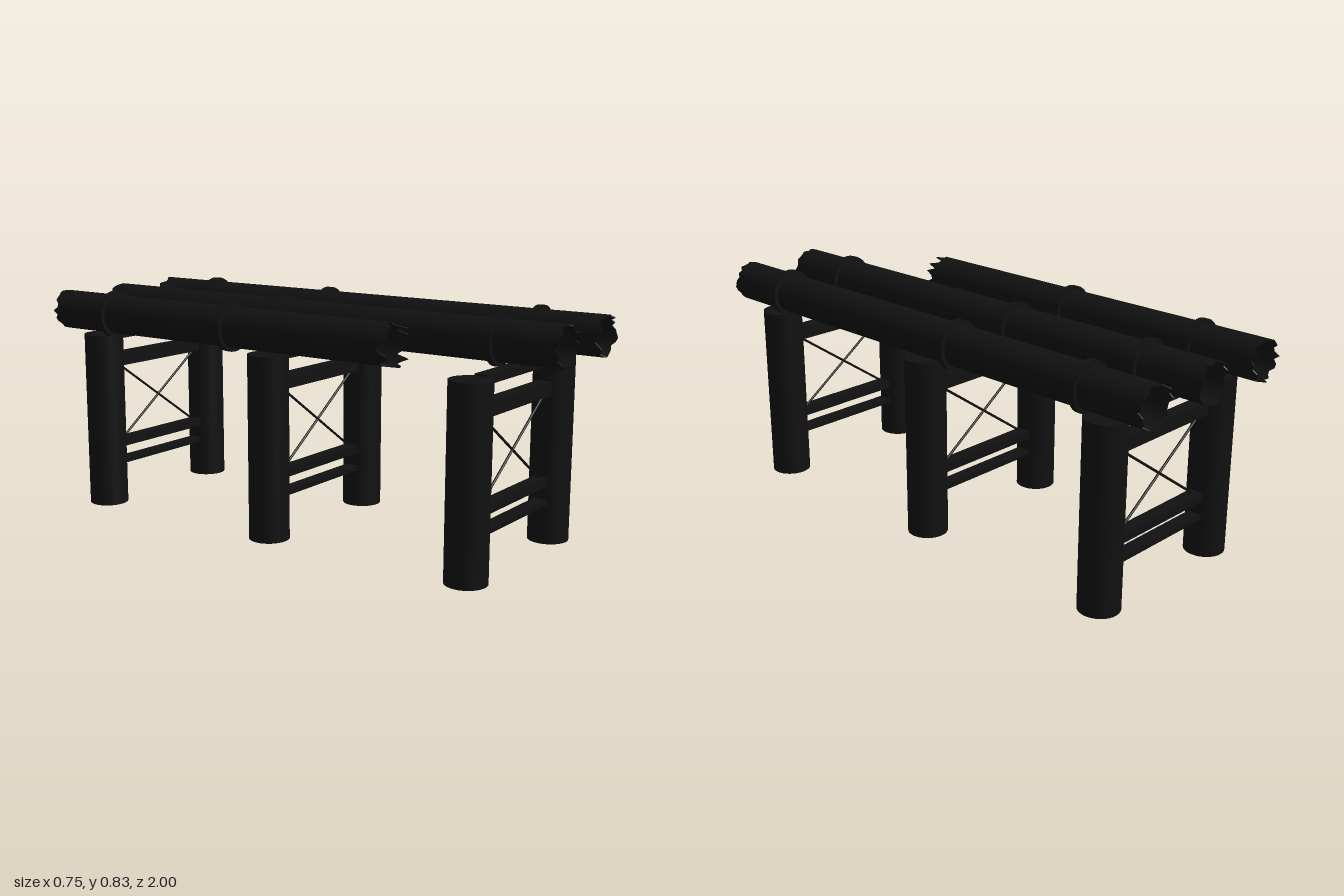
import * as THREE from 'three';
import { toCreasedNormals } from 'three/addons/utils/BufferGeometryUtils.js';

const material = new THREE.MeshStandardMaterial({ color: 0x111111 });
const SIDE_X = 0.29, POST_R = 0.0725, POST_H = 0.662;
const PIPE_Y = 0.742, PIPE_R = 0.0725, BORE_R = 0.069, SEGMENTS = 32;

function add(parent, name, geometry, x = 0, y = 0, z = 0) {
  const mesh = new THREE.Mesh(geometry, material);
  mesh.name = name;
  mesh.position.set(x, y, z);
  parent.add(mesh);
  return mesh;
}

function seeded(seed) {
  return () => (seed = (seed * 16807) % 2147483647) / 2147483647;
}

// Hollow tube along z, closed profile of inner and outer walls
function tubeProfile(inner, outer, back, front) {
  return [[outer, back], [outer, front], [inner, front], [inner, back], [outer, back]]
    .map(([r, y]) => new THREE.Vector2(r, y));
}

// Pipe whose ends are broken off in ragged teeth
function brokenPipe(back, front, backJag, frontJag, seed) {
  const random = seeded(seed);
  const geometry = new THREE.LatheGeometry(tubeProfile(BORE_R, PIPE_R, back, front), SEGMENTS);
  const teeth = Array.from({ length: SEGMENTS }, () => [random() * backJag, random() * frontJag]);
  const p = geometry.attributes.position;
  for (let i = 0; i < p.count; i++) {
    const [b, f] = teeth[Math.floor(i / 5) % SEGMENTS];
    const atFront = i % 5 === 1 || i % 5 === 2;
    p.setY(i, atFront ? front - f : back + b);
  }
  geometry.rotateX(Math.PI / 2);
  return toCreasedNormals(geometry, 0.6);
}

// One trestle: two posts, four cross beams and an X of thin rods
function trestle() {
  const group = new THREE.Group();
  for (const s of [-1, 1]) {
    add(group, 'post', new THREE.CylinderGeometry(POST_R, POST_R, POST_H, 32), s * SIDE_X, POST_H / 2, 0);
  }
  const beams = [
    ['topBeam', 0.637, 0.668, 0.05],
    ['upperBeam', 0.53, 0.58, 0.05],
    ['lowerBeam', 0.21, 0.242, 0.05],
    ['bottomBeam', 0.142, 0.161, 0.05],
  ];
  for (const [name, low, high, depth] of beams) {
    add(group, name, new THREE.BoxGeometry(0.45, high - low, depth), 0, (low + high) / 2, 0);
  }
  for (const s of [-1, 1]) {
    const from = new THREE.Vector3(-0.205 * s, 0.238, 0);
    const to = new THREE.Vector3(0.22 * s, 0.535, 0);
    const along = to.clone().sub(from);
    const rod = add(group, 'crossBrace', new THREE.CylinderGeometry(0.0045, 0.0045, along.length(), 8));
    rod.position.copy(from).lerp(to, 0.5);
    rod.quaternion.setFromUnitVectors(new THREE.Vector3(0, 1, 0), along.normalize());
  }
  return group;
}

export function createModel() {
  const model = new THREE.Group();
  model.name = 'pipeRack';

  for (const z of [-0.8, 0, 0.8]) {
    const frame = trestle();
    frame.name = 'trestle';
    frame.position.z = z;
    model.add(frame);
  }

  // Pipes with joint flanges; the right one is snapped short
  const flange = toCreasedNormals(
    new THREE.LatheGeometry(tubeProfile(BORE_R, 0.087, -0.011, 0.011), SEGMENTS).rotateX(Math.PI / 2), 0.6);
  const pipes = [
    { x: -SIDE_X, back: -1, front: 0.54, backJag: 0.03, frontJag: 0.055, joints: [-0.73, -0.16] },
    { x: 0, back: -0.995, front: 0.995, backJag: 0.02, frontJag: 0.025, joints: [-0.73, -0.16, 0.74] },
    { x: SIDE_X, back: -1, front: 1, backJag: 0.03, frontJag: 0.025, joints: [-0.73, -0.16, 0.74] },
  ];
  pipes.forEach(({ x, back, front, backJag, frontJag, joints }, i) => {
    const group = new THREE.Group();
    group.name = 'pipeline';
    group.position.set(x, PIPE_Y, 0);
    add(group, 'pipe', brokenPipe(back, front, backJag, frontJag, 4711 * (i + 3)));
    for (const z of joints) add(group, 'flange', flange, 0, 0, z);
    model.add(group);
  });
  return model;
}
